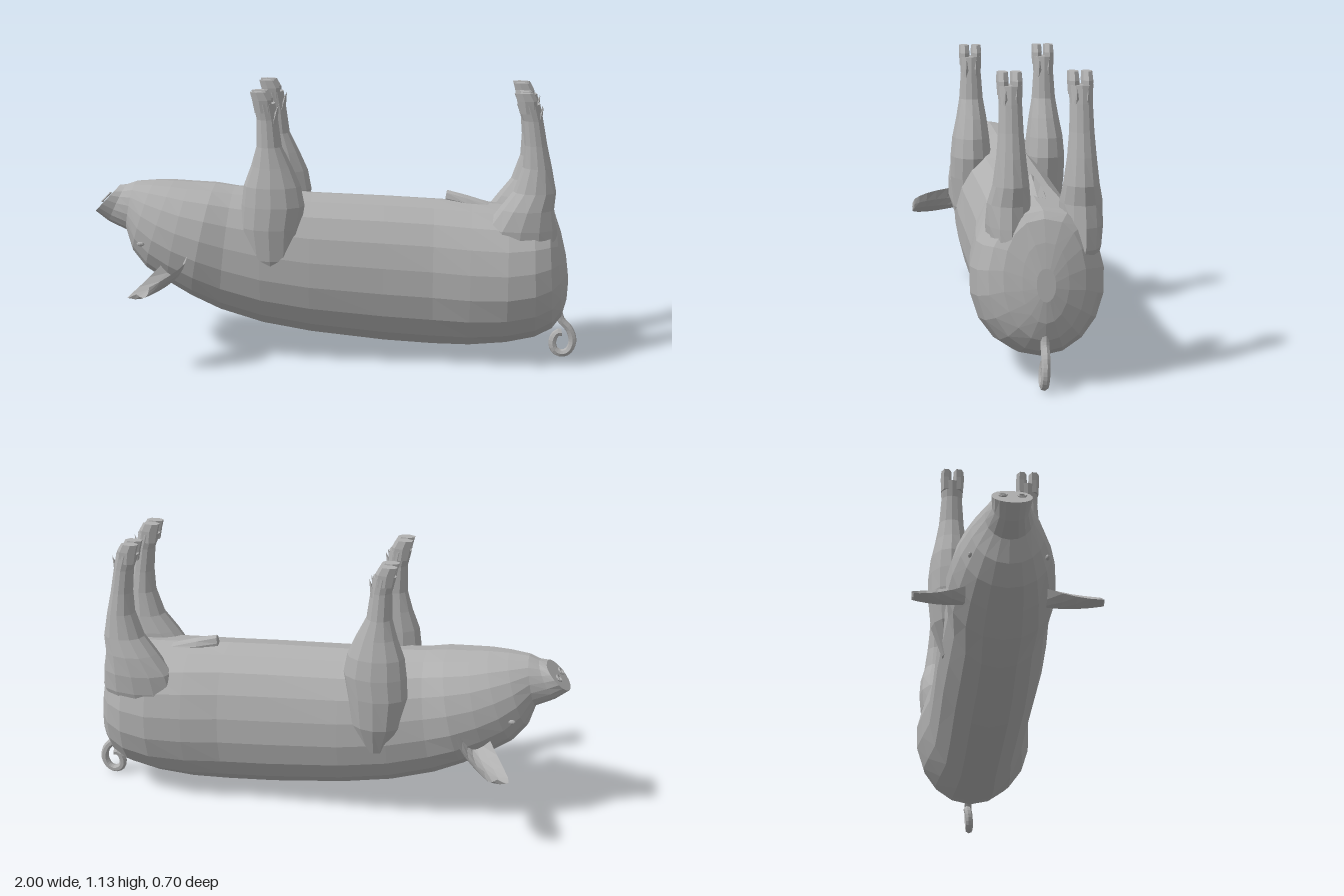
import * as THREE from 'three';

const V = (x, y, z) => new THREE.Vector3(x, y, z);

// Skin a list of equal-length rings into a closed, flat-shaded solid.
function loft(rings) {
  const n = rings[0].length, tris = [];
  for (let r = 0; r + 1 < rings.length; r++) {
    for (let i = 0; i < n; i++) {
      const j = (i + 1) % n;
      const a = rings[r][i], b = rings[r][j], c = rings[r + 1][j], d = rings[r + 1][i];
      tris.push([a, b, c], [a, c, d]);
    }
  }
  const cap = (ring, flip) => {
    const mid = ring.reduce((s, p) => s.add(p), V(0, 0, 0)).divideScalar(n);
    ring.forEach((p, i) => {
      const q = ring[(i + 1) % n];
      tris.push(flip ? [mid, q, p] : [mid, p, q]);
    });
  };
  cap(rings[0], true);
  cap(rings[rings.length - 1], false);
  // turn the faces outward whichever way the rings run
  const volume = tris.reduce((s, [a, b, c]) => s + a.dot(b.clone().cross(c)), 0);
  if (volume < 0) tris.forEach((t) => t.reverse());
  const g = new THREE.BufferGeometry().setFromPoints(tris.flat());
  g.computeVertexNormals();
  return g;
}

// Ring spanning a low and a high point in the xy plane, half-width w in z.
function spanRing([lx, ly, hx, hy, w], zAt, n = 18) {
  return Array.from({ length: n }, (_, i) => {
    const a = (i / n) * Math.PI * 2, c = Math.cos(a), s = Math.sin(a);
    const x = (lx + hx) / 2 + (c * (hx - lx)) / 2;
    const y = (ly + hy) / 2 + (c * (hy - ly)) / 2;
    const side = c > 0 ? Math.sign(s) * Math.abs(s) ** 0.8 : s;
    return V(x, y, zAt((lx + hx) / 2) + w * side);
  });
}

// Horizontal elliptical ring at height y.
function flatRing(y, x0, x1, z0, z1, n = 12) {
  return Array.from({ length: n }, (_, i) => {
    const a = (i / n) * Math.PI * 2;
    return V((x0 + x1) / 2 + (Math.cos(a) * (x1 - x0)) / 2, y,
      (z0 + z1) / 2 + (Math.sin(a) * (z1 - z0)) / 2);
  });
}

export function createModel() {
  const model = new THREE.Group();
  model.name = 'upturnedPig';
  const skin = new THREE.MeshStandardMaterial({ color: 0xb0b0b0, flatShading: true, side: THREE.DoubleSide });
  skin.name = 'grey skin';
  const add = (name, geometry, parent = model) => {
    const m = new THREE.Mesh(geometry, skin);
    m.name = name;
    parent.add(m);
    return m;
  };
  // the spine runs slightly askew
  const spineZ = (x) => -0.02 - 0.02 * x;

  // Snout, head, trunk and rump: low x, low y, high x, high y, half-width
  add('body', loft([
    [-1.0, 0.605, -0.9, 0.71, 0.075],
    [-0.945, 0.56, -0.87, 0.715, 0.07],
    [-0.87, 0.525, -0.83, 0.73, 0.09],
    [-0.845, 0.44, -0.75, 0.735, 0.135],
    [-0.79, 0.37, -0.67, 0.735, 0.17],
    [-0.7, 0.31, -0.6, 0.73, 0.195],
    [-0.6, 0.25, -0.5, 0.725, 0.21],
    [-0.48, 0.19, -0.42, 0.715, 0.195],
    [-0.3, 0.135, -0.3, 0.705, 0.205],
    [-0.1, 0.1, -0.1, 0.69, 0.212],
    [0.2, 0.067, 0.2, 0.68, 0.21],
    [0.4, 0.055, 0.4, 0.67, 0.212],
    [0.55, 0.055, 0.55, 0.66, 0.235],
    [0.7, 0.07, 0.7, 0.65, 0.25],
    [0.82, 0.095, 0.8, 0.65, 0.235],
    [0.89, 0.13, 0.86, 0.645, 0.2],
    [0.93, 0.18, 0.89, 0.62, 0.15],
    [0.95, 0.25, 0.918, 0.54, 0.085],
    [0.955, 0.33, 0.94, 0.45, 0.035],
  ].map((s) => spanRing(s, spineZ))));

  // Nostril rims on the snout disc
  for (const s of [-1, 1]) {
    const rim = add('nostril', new THREE.TorusGeometry(0.014, 0.004, 5, 10));
    rim.position.set(-0.955, 0.661, s * 0.035);
    rim.lookAt(-1.955, 1.611, s * 0.035);
  }

  // Eyelids
  for (const s of [-1, 1]) {
    const lid = add('eye', new THREE.SphereGeometry(0.016, 8, 6));
    lid.scale.set(1, 0.6, 0.5);
    lid.position.set(-0.79, 0.5, s * 0.142);
  }

  // Broad cupped ears with a rounded tip
  const halfWidths = [0.055, 0.09, 0.11, 0.115, 0.1, 0.075, 0.03];
  const across = 6;
  for (const s of [-1, 1]) {
    const points = [], index = [];
    halfWidths.forEach((w, r) => {
      const t = Math.sin((r / (halfWidths.length - 1)) * Math.PI / 2);
      for (let k = 0; k <= across; k++) {
        const u = (k / across) * 2 - 1, cup = 0.07 * (u * u - 0.5) * (1 - t * 0.6);
        points.push(V(-0.65 - 0.02 * t - 0.07 * t * t + 0.87 * w * u - 0.3 * cup,
          0.405 - 0.055 * t + 0.48 * w * u + cup, s * (0.15 + 0.2 * t)));
      }
    });
    for (let r = 0; r + 1 < halfWidths.length; r++) {
      for (let k = 0; k < across; k++) {
        const a = r * (across + 1) + k, b = a + across + 1;
        index.push(a, a + 1, b, a + 1, b + 1, b);
      }
    }
    const ear = new THREE.BufferGeometry().setFromPoints(points);
    ear.setIndex(index);
    const flat = ear.toNonIndexed();
    flat.computeVertexNormals();
    add(s > 0 ? 'leftEar' : 'rightEar', flat);
  }

  // Legs: y, x from, x to, shift outward from the hoof, z half-width
  const frontLeg = [
    [0.33, -0.3, -0.2, -0.02, 0.05], [0.45, -0.36, -0.15, -0.005, 0.08],
    [0.58, -0.38, -0.135, 0.002, 0.087], [0.67, -0.375, -0.12, 0.003, 0.086],
    [0.75, -0.365, -0.135, 0.003, 0.078], [0.83, -0.335, -0.17, 0, 0.064],
    [0.91, -0.312, -0.21, 0, 0.05], [1.02, -0.31, -0.225, 0, 0.042],
    [1.085, -0.325, -0.235, 0, 0.046],
  ];
  const hindLeg = [
    [0.36, 0.62, 0.84, -0.01, 0.05], [0.5, 0.58, 0.9, 0.004, 0.078],
    [0.58, 0.6, 0.893, 0.006, 0.083],
    [0.66, 0.66, 0.88, 0.004, 0.08], [0.73, 0.715, 0.886, 0, 0.067],
    [0.83, 0.75, 0.866, 0, 0.054], [0.92, 0.754, 0.845, 0, 0.046],
    [1.02, 0.745, 0.826, 0, 0.042], [1.085, 0.72, 0.812, 0, 0.046],
  ];
  const addLeg = (name, rows, hoofZ, out) => {
    const leg = new THREE.Group();
    leg.name = name;
    model.add(leg);
    add('limb', loft(rows.map(([y, x0, x1, shift, w]) => {
      const z = hoofZ + out * shift;
      return flatRing(y, x0, x1, z - w, z + w);
    })), leg);
    const [, x0, x1] = rows[rows.length - 1];
    for (const s of [-1, 1]) {
      // cloven toe
      const z = hoofZ + s * 0.025;
      add('toe', loft([
        flatRing(1.05, x0 + 0.008, x1 - 0.01, z - 0.02, z + 0.02, 7),
        flatRing(1.1, x0 - 0.002, x1 - 0.012, z - 0.023, z + 0.023, 7),
        flatRing(1.132, x0 - 0.01, x1 - 0.03, z - 0.021, z + 0.021, 7),
      ]), leg);
      // dewclaw behind the toes
      const claw = add('dewclaw', new THREE.ConeGeometry(0.014, 0.075, 5), leg);
      claw.position.set(x1 + 0.003, 1.04, hoofZ + s * 0.02);
      claw.rotation.z = -0.25;
    }
  };
  addLeg('leftFrontLeg', frontLeg, 0.122, 1);
  addLeg('rightFrontLeg', frontLeg, -0.186, -1);
  addLeg('leftHindLeg', hindLeg, 0.072, 1);
  addLeg('rightHindLeg', hindLeg, -0.184, -1);

  // Small pointed fold on the belly
  add('bellyFold', loft([
    [0.44, 0.64, 0.45, 0.705, 0.016],
    [0.53, 0.63, 0.53, 0.685, 0.035],
    [0.64, 0.61, 0.64, 0.652, 0.045],
  ].map((s) => spanRing(s, () => -0.045, 8))));

  // Curled tail
  const curl = new THREE.CatmullRomCurve3([
    V(0.915, 0.23, -0.037), V(0.93, 0.165, -0.037), V(0.968, 0.12, -0.036),
    V(0.982, 0.07, -0.034), V(0.965, 0.028, -0.032), V(0.935, 0.017, -0.032),
    V(0.905, 0.036, -0.033), V(0.9, 0.075, -0.036), V(0.917, 0.103, -0.04),
    V(0.935, 0.105, -0.042),
  ]);
  add('tail', new THREE.TubeGeometry(curl, 28, 0.0165, 7));

  return model;
}
